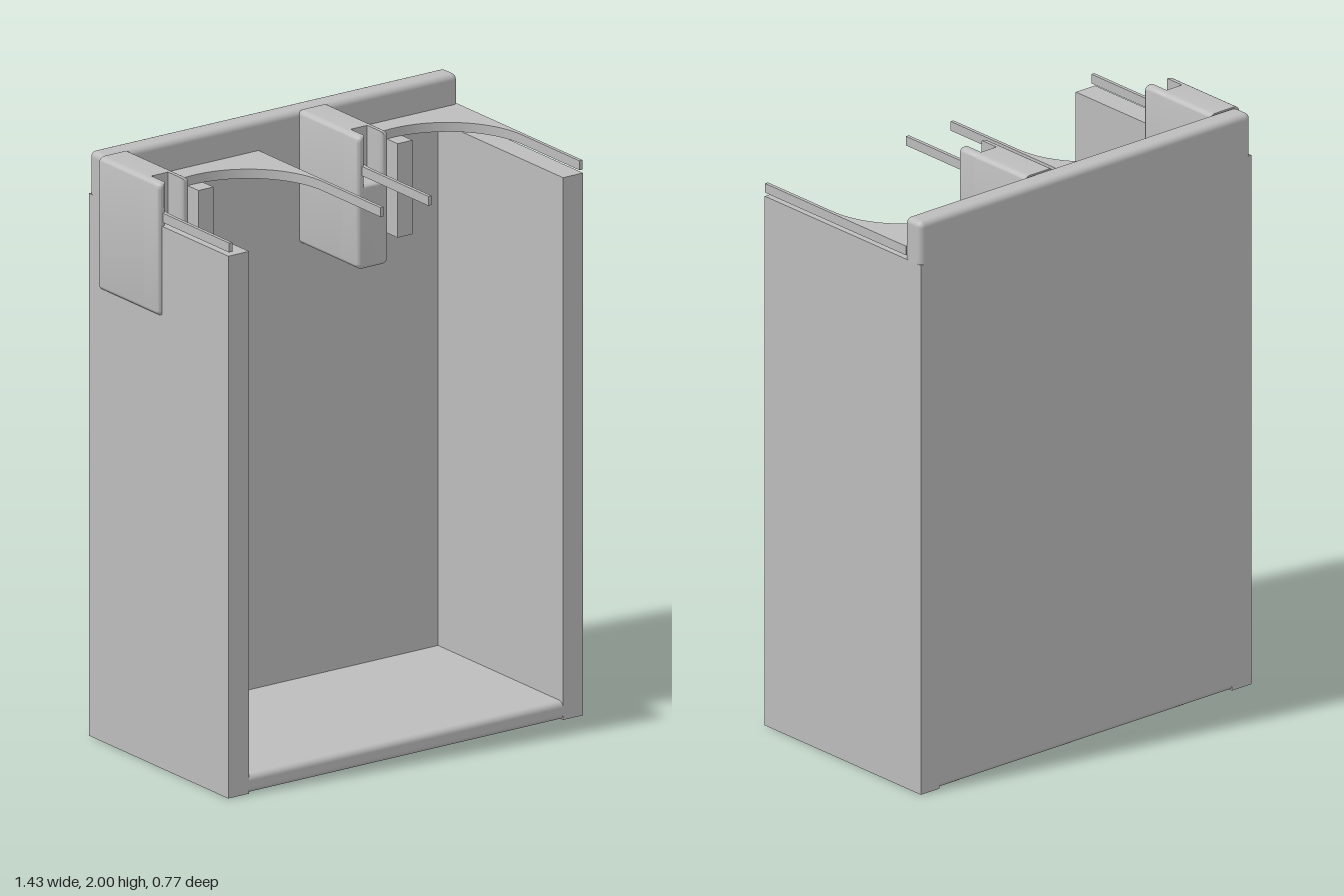
import * as THREE from 'three';
import { toCreasedNormals } from 'three/addons/utils/BufferGeometryUtils.js';
import { RoundedBoxGeometry } from 'three/addons/geometries/RoundedBoxGeometry.js';

const grey = new THREE.MeshStandardMaterial({ color: 0xbcbcbc });
grey.name = 'lightGrey';

function add(parent, name, geometry) {
  const mesh = new THREE.Mesh(geometry, grey);
  mesh.name = name;
  parent.add(mesh);
  return mesh;
}

// Box given by its limits; a radius rounds its edges
function box(parent, name, [x0, x1], [y0, y1], [z0, z1], radius = 0) {
  const size = [x1 - x0, y1 - y0, z1 - z0];
  const geometry = radius
    ? new RoundedBoxGeometry(...size, 4, radius)
    : new THREE.BoxGeometry(...size);
  const mesh = add(parent, name, geometry);
  mesh.position.set((x0 + x1) / 2, (y0 + y1) / 2, (z0 + z1) / 2);
  return mesh;
}

// Front outline of a clip with rounded corners, optionally slotted at the top
function clipShape(slotted) {
  const w = 0.061, bottom = 1.545, top = 2, r = 0.02;
  const s = new THREE.Shape();
  s.moveTo(-w + r, bottom);
  s.lineTo(w - r, bottom);
  s.absarc(w - r, bottom + r, r, -Math.PI / 2, 0);
  s.lineTo(w, top - r);
  s.absarc(w - r, top - r, r, 0, Math.PI / 2);
  if (slotted) {
    s.lineTo(0.033, top);
    s.lineTo(0.033, 1.83);
    s.lineTo(-0.033, 1.83);
    s.lineTo(-0.033, top);
  }
  s.lineTo(-w + r, top);
  s.absarc(-w + r, top - r, r, Math.PI / 2, Math.PI);
  s.lineTo(-w, bottom + r);
  s.absarc(-w + r, bottom + r, r, Math.PI, Math.PI * 1.5);
  return s;
}

function makeClip() {
  const clip = new THREE.Group();
  clip.name = 'clip';
  // Solid rear block
  const rear = new THREE.ExtrudeGeometry(clipShape(false), {
    depth: 0.25, bevelEnabled: false, curveSegments: 5 });
  add(clip, 'clipRear', toCreasedNormals(rear, 0.6)).position.z = -0.31;
  // Slotted front with softened edges
  const b = 0.012;
  const front = new THREE.ExtrudeGeometry(clipShape(true), {
    depth: 0.088, bevelEnabled: true, bevelSize: b, bevelThickness: b,
    bevelOffset: -b, bevelSegments: 4, curveSegments: 5 });
  add(clip, 'clipFront', toCreasedNormals(front, 0.6)).position.z = -0.08;
  return clip;
}

// Thin plate with an arched opening towards the front
function plateGeometry() {
  const half = 0.3075, r = 0.295, back = -0.31, front = 0.385, cz = 0.065;
  const s = new THREE.Shape();
  s.moveTo(-half, back);
  s.lineTo(half, back);
  s.lineTo(half, front);
  s.lineTo(r, front);
  s.lineTo(r, cz);
  s.absarc(0, cz, r, 0, -Math.PI, true);
  s.lineTo(-r, front);
  s.lineTo(-half, front);
  const g = new THREE.ExtrudeGeometry(s, { depth: 0.032, bevelEnabled: false, curveSegments: 40 });
  g.rotateX(Math.PI / 2);
  return toCreasedNormals(g, 0.5);
}

export function createModel() {
  const model = new THREE.Group();
  model.name = 'openCabinet';

  // Carcass
  box(model, 'rightPanel', [-0.703, -0.62], [0, 1.853], [-0.385, 0.385]);
  box(model, 'leftPanel', [0.63, 0.71], [0, 1.853], [-0.385, 0.385]);
  box(model, 'backPanel', [-0.703, 0.71], [0, 2], [-0.385, -0.305], 0.02);
  box(model, 'floor', [-0.66, 0.67], [0, 0.062], [-0.365, 0.385], 0.02);

  // Two identical holders side by side
  for (const x of [-0.392, 0.401]) {
    const holder = new THREE.Group();
    holder.name = 'holder';
    holder.position.x = x;
    add(holder, 'archedPlate', plateGeometry()).position.y = 1.897;
    box(holder, 'supportPost', [-0.03, 0.03], [1.545, 1.866], [-0.31, -0.17]);
    const clip = makeClip();
    clip.position.x = -0.263;
    holder.add(clip);
    model.add(holder);
  }
  return model;
}
